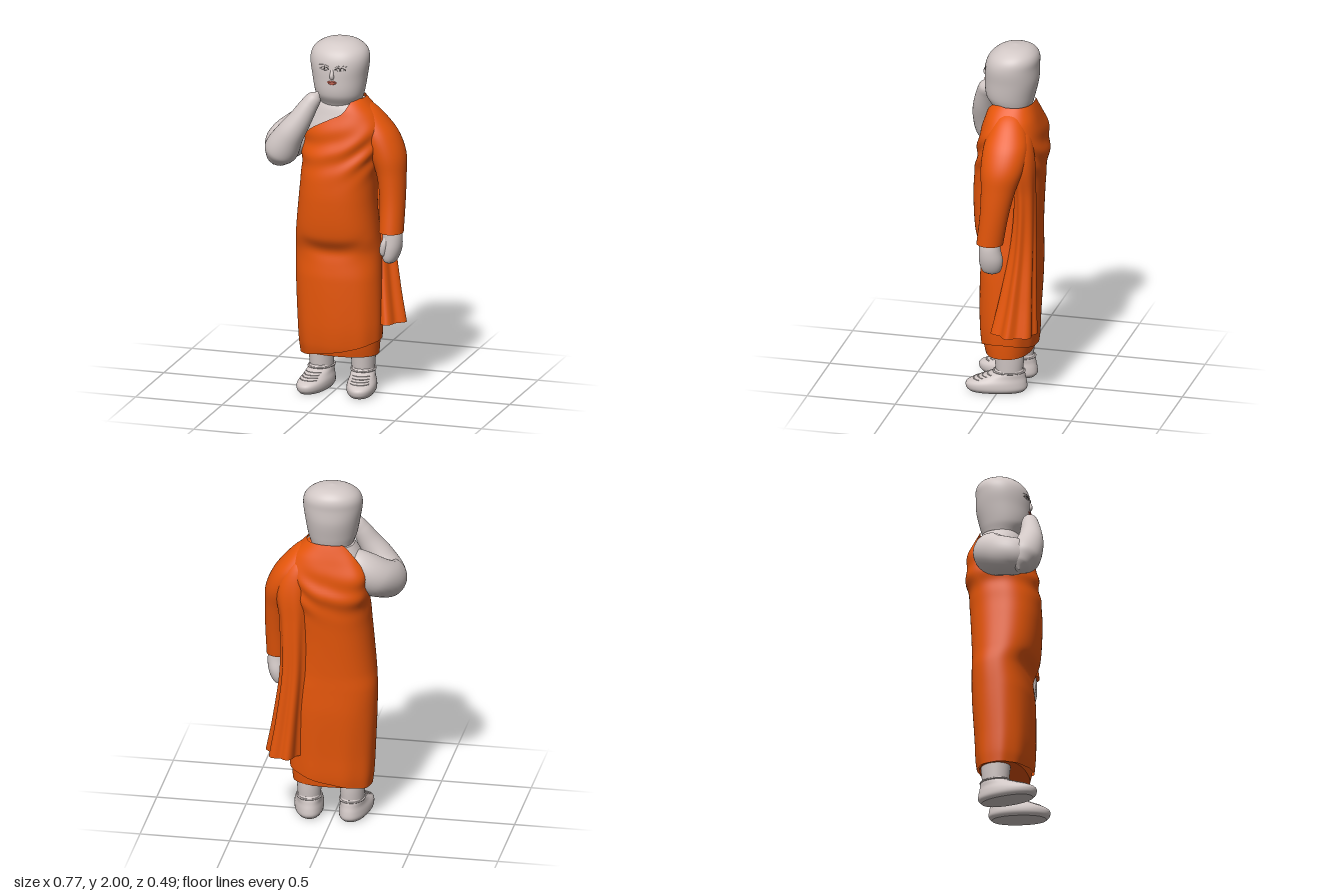
import * as THREE from 'three';

const mat = (name, color, side = THREE.FrontSide) => {
  const m = new THREE.MeshStandardMaterial({ color, side });
  m.name = name;
  return m;
};

// Closed-around grid of points fn(angle, v); optional flat caps at both ends
function grid(fn, nu, nv, capStart = false, capEnd = false) {
  const pos = [], idx = [];
  for (let j = 0; j <= nv; j++)
    for (let i = 0; i < nu; i++) pos.push(...fn((i / nu) * Math.PI * 2, j / nv));
  for (let j = 0; j < nv; j++)
    for (let i = 0; i < nu; i++) {
      const k = (i + 1) % nu, a = j * nu + i, b = j * nu + k, c = a + nu, d = b + nu;
      idx.push(a, c, b, b, c, d);
    }
  const cap = (row, flip) => {
    const base = pos.length / 3, mid = [0, 0, 0];
    for (let i = 0; i < nu; i++)
      for (let k = 0; k < 3; k++) {
        const p = pos[(row * nu + i) * 3 + k];
        pos.push(p);
        mid[k] += p / nu;
      }
    pos.push(...mid);
    for (let i = 0; i < nu; i++) {
      const a = base + i, b = base + (i + 1) % nu;
      idx.push(base + nu, ...(flip ? [b, a] : [a, b]));
    }
  };
  if (capStart) cap(0, false);
  if (capEnd) cap(nv, true);
  const g = new THREE.BufferGeometry();
  g.setAttribute('position', new THREE.Float32BufferAttribute(pos, 3));
  g.setIndex(idx);
  g.computeVertexNormals();
  return g;
}

// Smooth interpolation of table rows by their first column
function sample(rows, t) {
  const n = rows.length - 1;
  let i = 0;
  while (i < n - 1 && t > rows[i + 1][0]) i++;
  const a = rows[i], b = rows[i + 1], h = b[0] - a[0];
  const s = THREE.MathUtils.clamp((t - a[0]) / h, 0, 1), s2 = s * s, s3 = s2 * s;
  const slope = (k, c) => {
    const p = rows[Math.max(k - 1, 0)], q = rows[Math.min(k + 1, n)];
    return (q[c] - p[c]) / (q[0] - p[0]);
  };
  return a.map((v, c) => c === 0 ? t
    : (2 * s3 - 3 * s2 + 1) * v + (s3 - 2 * s2 + s) * h * slope(i, c)
    + (3 * s2 - 2 * s3) * b[c] + (s3 - s2) * h * slope(i + 1, c));
}

const bell = (t, centre, width) => Math.exp(-(((t - centre) / width) ** 2));

// Point on a horizontal section; rows are [y, centreX, centreZ, radiusX, radiusZ]
function ring(rows, y, a, grow = 0, n = 2) {
  const [, cx, cz, rx, rz] = sample(rows, y);
  const c = Math.cos(a), s = Math.sin(a), e = 2 / n;
  return [cx + Math.sign(c) * Math.abs(c) ** e * Math.max(rx + grow, 0), y,
    cz + Math.sign(s) * Math.abs(s) ** e * Math.max(rz + grow, 0)];
}

const loft = (rows, nu, nv, n = 2) => {
  const y0 = rows[0][0], y1 = rows[rows.length - 1][0];
  // rows gather towards both ends to keep domes round
  return grid((a, v) => ring(rows, y0 + (y1 - y0) * (0.5 - 0.5 * Math.cos(Math.PI * v)), a, 0, n), nu, nv, true, true);
};

// Round limb along points [x, y, z, radius]
function limb(pts, nu = 24, nv = 32) {
  const curve = new THREE.CatmullRomCurve3(pts.map(p => new THREE.Vector3(p[0], p[1], p[2])));
  const radii = pts.map((p, i) => [i / (pts.length - 1), p[3]]);
  const f = curve.computeFrenetFrames(nv);
  return grid((a, v) => {
    const j = Math.round(v * nv), r = Math.max(sample(radii, v)[1], 0.0005);
    return curve.getPoint(v).addScaledVector(f.normals[j], Math.cos(a) * r)
      .addScaledVector(f.binormals[j], -Math.sin(a) * r).toArray();
  }, nu, nv, true, true);
}

const BODY = [
  [0.20, 0.015, -0.033, 0.225, 0.137], [0.27, 0.014, -0.030, 0.232, 0.150], [0.40, 0.013, -0.028, 0.238, 0.158],
  [0.65, 0.005, -0.035, 0.242, 0.165], [0.80, 0, -0.040, 0.240, 0.160],
  [0.90, 0, -0.022, 0.231, 0.178], [1.10, 0.002, -0.019, 0.214, 0.191],
  [1.25, 0.010, -0.028, 0.210, 0.193], [1.38, 0.025, -0.044, 0.225, 0.189],
  [1.50, 0.033, -0.045, 0.233, 0.170], [1.58, 0.030, -0.047, 0.200, 0.148],
  [1.64, 0.020, -0.047, 0.155, 0.128], [1.68, 0.015, -0.055, 0.122, 0.105]];
const HEAD = [
  [1.58, 0, -0.05, 0.10, 0.09], [1.64, 0.010, -0.04, 0.114, 0.108],
  [1.70, 0.010, -0.030, 0.135, 0.134], [1.80, 0.008, -0.037, 0.153, 0.149],
  [1.88, 0.007, -0.040, 0.164, 0.148], [1.93, 0.006, -0.049, 0.156, 0.139],
  [1.965, 0.005, -0.057, 0.126, 0.112], [1.99, 0.005, -0.060, 0.072, 0.066], [2, 0.005, -0.06, 0, 0]];
const SHOE = [
  [0, 0, 0.015, 0.066, 0.15], [0.02, 0, 0.015, 0.08, 0.168], [0.055, 0, 0.013, 0.08, 0.165],
  [0.085, 0, -0.02, 0.07, 0.125], [0.11, 0, -0.05, 0.066, 0.09], [0.13, 0, -0.055, 0.06, 0.075]];
// Loose end of the robe: wide over the shoulder, gathered, then flaring
const TAIL = [
  [0.39, 0.258, -0.112, 0.102, 0.120], [0.60, 0.234, -0.130, 0.086, 0.094],
  [0.90, 0.206, -0.152, 0.074, 0.066], [1.20, 0.203, -0.160, 0.080, 0.058],
  [1.38, 0.205, -0.140, 0.100, 0.075], [1.52, 0.175, -0.115, 0.085, 0.070], [1.60, 0.130, -0.095, 0.04, 0.04]];
// Upper edge of the robe by angle in degrees, from the left side round the front
const ROBE_TOP = [[0, 1.67], [55, 1.665], [90, 1.585], [130, 1.50], [155, 1.42], [180, 1.34],
  [198, 1.40], [214, 1.57], [230, 1.66], [245, 1.67], [360, 1.67]];

export function createModel() {
  const root = new THREE.Group();
  root.name = 'robedFigure';
  const skin = mat('skin', 0xd2c8c6);
  const cloth = mat('orangeCloth', 0xe6560a, THREE.DoubleSide);
  const dark = mat('darkLine', 0x3a3331);
  const red = mat('lipRed', 0xcf6450);
  const add = (name, geo, m, parent = root) => {
    const mesh = new THREE.Mesh(geo, m);
    mesh.name = name;
    parent.add(mesh);
    return mesh;
  };

  // Robe: diagonal neckline, slanting wrap hem, soft folds, fuller over the right shoulder blade
  add('robe', grid((a, v) => {
    const deg = THREE.MathUtils.radToDeg(a);
    const bottom = 0.2 + 0.1 * ((Math.cos(a) + 1) / 2) ** 1.5;
    const y = bottom + (Math.min(sample(ROBE_TOP, deg)[1], 1.672) - bottom) * v;
    const x = Math.cos(a) * 0.22, front = Math.max(Math.sin(a), 0);
    const folds = 0.007 * Math.sin((y - 0.5 * x - 2 * x * x) * 42) * bell(y, 1.39, 0.11)
      - 0.012 * front ** 4 * bell(y, 0.82 + 2 * x * x, 0.045)
      + 0.003 * Math.sin(a * 9) * Math.max(0, 1 - y / 0.7)
      + 0.03 * bell(deg, 222, 24) * bell(y, 1.47, 0.13);
    return ring(BODY, y, a, folds, 2.35);
  }, 120, 100), cloth);
  add('underRobe', grid((a, v) => ring(BODY, 0.212 + 0.3 * v, a, -0.012, 2.35), 64, 8, true), cloth);

  // Bare chest and shoulder under the robe
  add('torso', grid((a, v) => ring(BODY, 1.2 + 0.45 * v, a, -0.013, 2.35), 64, 24, true, true), skin);

  // Left sleeve, hand and thumb
  add('leftSleeve', loft([
    [0.93, 0.318, 0.010, 0.068, 0.074], [1.10, 0.318, -0.015, 0.071, 0.080],
    [1.25, 0.305, -0.035, 0.082, 0.097], [1.36, 0.277, -0.050, 0.103, 0.120],
    [1.47, 0.230, -0.058, 0.106, 0.124], [1.55, 0.185, -0.058, 0.090, 0.104],
    [1.62, 0.140, -0.055, 0.065, 0.072], [1.66, 0.11, -0.055, 0.025, 0.03]], 40, 48), cloth);
  add('leftHand', loft([
    [0.75, 0.310, 0.005, 0.012, 0.02], [0.765, 0.310, 0.004, 0.036, 0.05],
    [0.83, 0.320, 0.003, 0.054, 0.066], [0.90, 0.325, 0.008, 0.055, 0.060],
    [0.96, 0.320, 0.010, 0.050, 0.055]], 28, 20), skin);
  add('leftThumb', limb([[0.31, 0.91, 0.04, 0.018], [0.29, 0.86, 0.05, 0.022],
    [0.282, 0.81, 0.045, 0.018], [0.28, 0.79, 0.043, 0]], 14, 14), skin);

  // Pleated end of the robe hanging from the left shoulder
  add('hangingCloth', grid((a, v) => {
    const fold = 0.013 * Math.max(0, 1 - 1.1 * v) * Math.sin(6 * a + 0.6);
    return ring(TAIL, 0.39 + 1.21 * v, a, fold, 1.8);
  }, 84, 40, true, true), cloth);

  // Folded right arm, hand raised to the chin
  const rightArm = new THREE.Group();
  rightArm.name = 'rightArm';
  root.add(rightArm);
  add('upperArm', limb([[-0.05, 1.57, -0.04, 0.06], [-0.14, 1.515, -0.06, 0.098], [-0.235, 1.44, -0.022, 0.114],
    [-0.29, 1.40, 0.055, 0.107], [-0.293, 1.385, 0.12, 0.098], [-0.272, 1.375, 0.185, 0.050],
    [-0.268, 1.375, 0.203, 0]], 32, 48), skin, rightArm);
  add('forearm', limb([[-0.325, 1.292, 0.135, 0], [-0.308, 1.322, 0.135, 0.054], [-0.274, 1.385, 0.145, 0.095],
    [-0.217, 1.485, 0.165, 0.080], [-0.16, 1.57, 0.160, 0.064], [-0.115, 1.65, 0.145, 0.051],
    [-0.083, 1.70, 0.133, 0.038], [-0.064, 1.73, 0.127, 0]], 32, 56), skin, rightArm);

  // Head and neck
  add('head', loft(HEAD, 64, 60, 2.1), skin);
  const faceZ = (x, y) => {
    const [, cx, cz, rx, rz] = sample(HEAD, y);
    return cz + rz * (1 - Math.abs((x - cx) / rx) ** 2.1) ** (1 / 2.1);
  };
  const stroke = (name, pts, r, m) => add(name, limb(pts.map(([x, y, k = 1]) =>
    [x, y, faceZ(x, y), r * k]), 8, 20), m);

  // Face: nose, lips, eyes and brows
  const mid = 0.008;
  add('nose', limb([[mid, 1.87, 0.1, 0.004], [mid, 1.845, 0.108, 0.009], [mid, 1.818, 0.115, 0.012],
    [mid, 1.805, 0.111, 0.010], [mid, 1.799, 0.106, 0]], 16, 20), skin);
  for (const s of [-1, 1]) {
    const ex = mid + s * 0.046;
    stroke('upperLid', [[ex - 0.03, 1.856], [ex - 0.012, 1.866], [ex + 0.012, 1.866], [ex + 0.03, 1.856]], 0.0018, dark);
    stroke('lowerLid', [[ex - 0.03, 1.856], [ex, 1.85], [ex + 0.03, 1.856]], 0.0014, skin);
    stroke('brow', [[mid + s * 0.018, 1.871], [ex, 1.879], [mid + s * 0.08, 1.874]], 0.0022, skin);
    const iris = add('iris', new THREE.SphereGeometry(0.005, 14, 10), dark);
    iris.scale.z = 0.4;
    iris.position.set(ex, 1.858, faceZ(ex, 1.858));
  }
  stroke('upperLip', [[mid - 0.027, 1.783, 0.4], [mid - 0.01, 1.787], [mid, 1.785], [mid + 0.01, 1.787], [mid + 0.027, 1.783, 0.4]], 0.0055, red);
  stroke('lowerLip', [[mid - 0.026, 1.781, 0.4], [mid, 1.776, 1.1], [mid + 0.026, 1.781, 0.4]], 0.006, red);

  // Legs and laced shoes
  for (const s of [-1, 1]) {
    const foot = new THREE.Group();
    foot.name = s > 0 ? 'leftFoot' : 'rightFoot';
    foot.position.set(s > 0 ? 0.147 : -0.112, 0, 0);
    foot.rotation.y = s > 0 ? 0.19 : -0.14;
    root.add(foot);
    add('shoe', loft(SHOE, 40, 24, 2.2), skin, foot);
    add('leg', loft([[0.1, 0, -0.055, 0.062, 0.072], [0.17, 0, -0.055, 0.067, 0.08],
      [0.222, 0, -0.053, 0.070, 0.084]], 32, 10), skin, foot);
    for (const y of [0.072, 0.081, 0.09, 0.1]) {
      const arc = [50, 70, 90, 110, 130].map(d => [...ring(SHOE, y, d * Math.PI / 180, 0.001, 2.2), 0.0032]);
      add('lace', limb(arc, 6, 16), skin, foot);
    }
    add('shoeCollar', limb(Array.from({ length: 25 }, (_, i) =>
      [...ring(SHOE, 0.118, i * Math.PI / 12, 0.003, 2.2), 0.005]), 8, 48), skin, foot);
  }
  return root;
}
